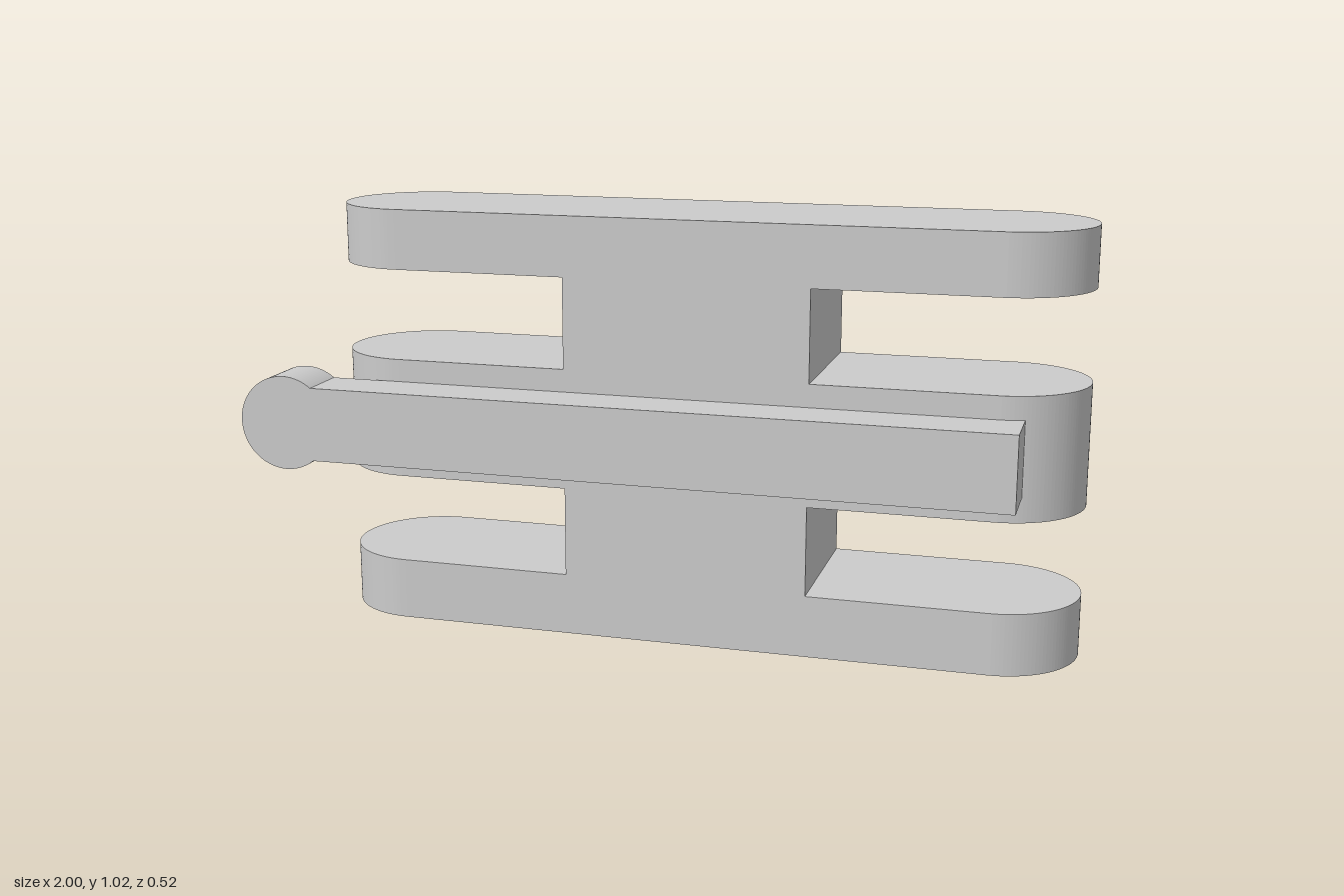
import * as THREE from 'three';

const material = new THREE.MeshStandardMaterial({ color: 0xcccccc });

function addMesh(group, name, geometry, x = 0, y = 0, z = 0) {
  const mesh = new THREE.Mesh(geometry, material);
  mesh.name = name;
  mesh.position.set(x, y, z);
  group.add(mesh);
}

export function createModel() {
  const group = new THREE.Group();
  group.name = 'slottedBlock';

  // Body footprint: a long slab with fully rounded ends
  const cx = 0.0825, cz = -0.065, radius = 0.195, half = 0.7215;
  const footprint = new THREE.Shape();
  footprint.absarc(half, 0, radius, -Math.PI / 2, Math.PI / 2, false);
  footprint.absarc(-half, 0, radius, Math.PI / 2, Math.PI * 1.5, false);
  footprint.closePath();

  // Three rounded plates, stacked
  const plates = [['lowerPlate', 0, 0.15], ['middlePlate', 0.367, 0.66], ['upperPlate', 0.88, 1.025]];
  for (const [name, bottom, top] of plates) {
    const plate = new THREE.ExtrudeGeometry(footprint, { depth: top - bottom, bevelEnabled: false, curveSegments: 32 });
    plate.rotateX(-Math.PI / 2);
    addMesh(group, name, plate, cx, bottom, cz);
  }

  // Webs joining the plates, flush with their flat faces
  for (const [name, bottom, top] of [['lowerWeb', 0.15, 0.367], ['upperWeb', 0.66, 0.88]]) {
    addMesh(group, name, new THREE.BoxGeometry(0.593, top - bottom, 2 * radius), 0.0805, (bottom + top) / 2, cz);
  }

  // Front bar with a round knob at one end
  const knobX = -0.885, barY = 0.515, knobR = 0.115, barHalf = 0.09, barEnd = 0.866;
  const angle = Math.asin(barHalf / knobR);
  const outline = new THREE.Shape();
  outline.moveTo(barEnd, -barHalf);
  outline.lineTo(barEnd, barHalf);
  outline.absarc(knobX, 0, knobR, angle, Math.PI * 2 - angle, false);
  outline.closePath();
  const bar = new THREE.ExtrudeGeometry(outline, { depth: 0.13, bevelEnabled: false, curveSegments: 48 });
  addMesh(group, 'knobbedBar', bar, 0, barY, 0.13);

  // Foot that seats the bar's square end on the rounded plate
  addMesh(group, 'barFoot', new THREE.BoxGeometry(0.1, 2 * barHalf, 0.03), barEnd - 0.05, barY, 0.115);

  return group;
}
